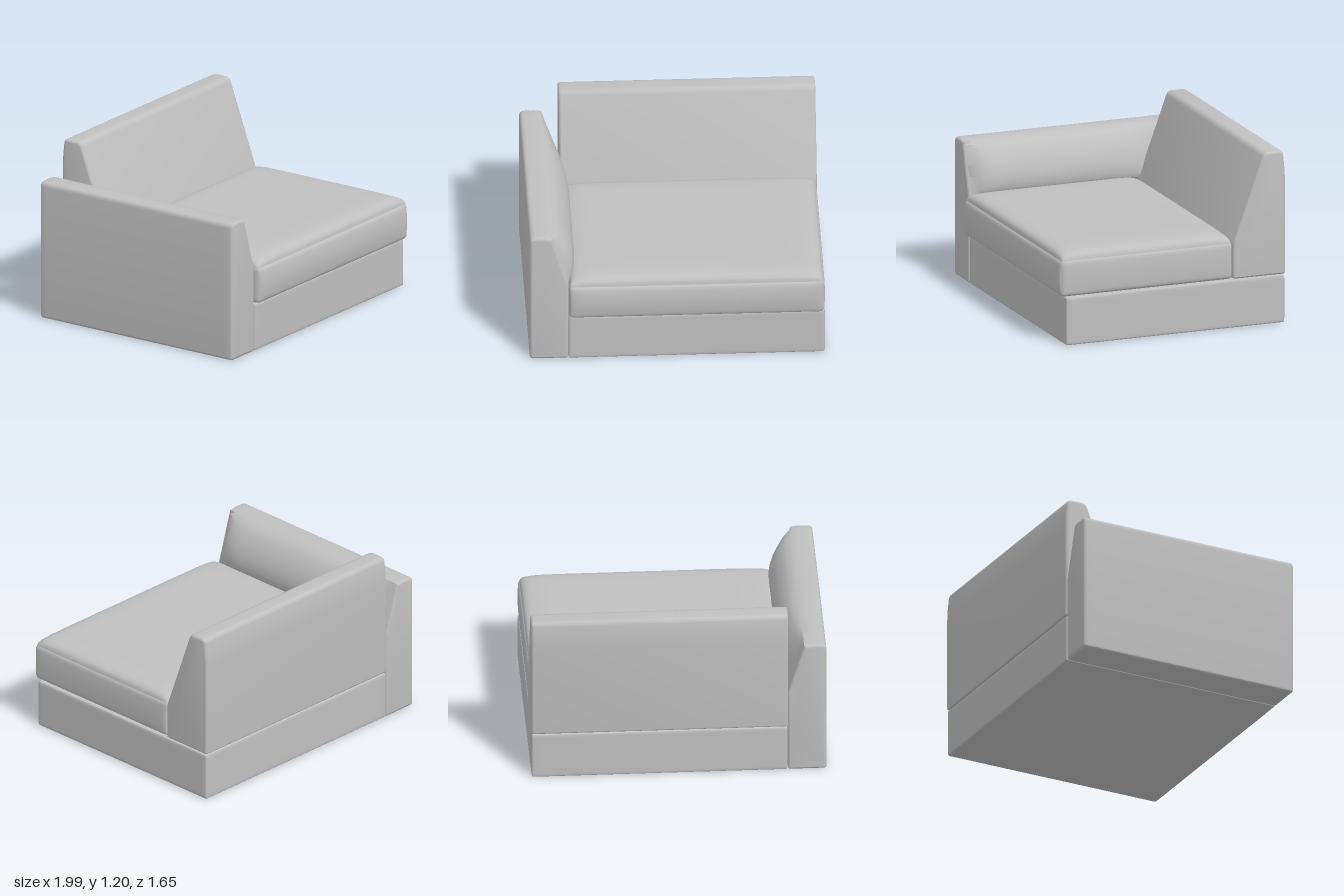
import * as THREE from 'three';
import { mergeVertices, toCreasedNormals } from 'three/addons/utils/BufferGeometryUtils.js';

const fabric = new THREE.MeshStandardMaterial({ color: 0xc0c0c0 });
fabric.name = 'grey fabric';

function part(name, geometry) {
  const mesh = new THREE.Mesh(geometry, fabric);
  mesh.name = name;
  return mesh;
}

// Closed outline from [x, y, cornerRadius] points
function outline(points) {
  const shape = new THREE.Shape();
  const n = points.length;
  points.forEach(([x, y, r = 0], i) => {
    const p = new THREE.Vector2(x, y);
    const toward = ([a, b]) => new THREE.Vector2(a, b).sub(p).setLength(r).add(p);
    const from = toward(points[(i + n - 1) % n]);
    const to = toward(points[(i + 1) % n]);
    if (i === 0) shape.moveTo(from.x, from.y);
    else shape.lineTo(from.x, from.y);
    if (r > 0) shape.quadraticCurveTo(x, y, to.x, to.y);
  });
  shape.closePath();
  return shape;
}

// Extrusion centred on its length, with softly rolled ends
function padded(points, length, steps) {
  const b = 0.018;
  const geo = new THREE.ExtrudeGeometry(outline(points), {
    depth: length - 2 * b, steps, curveSegments: 5,
    bevelEnabled: true, bevelSize: b, bevelThickness: b, bevelOffset: -b, bevelSegments: 3,
  });
  return geo.translate(0, 0, -length / 2 + b);
}

// Rounded block; rule(point, u, v, w) may reshape it, u v w running from -1 to 1
function softBlock(min, max, r, rule) {
  const lo = new THREE.Vector3(...min), hi = new THREE.Vector3(...max);
  const innerLo = lo.clone().addScalar(r), innerHi = hi.clone().subScalar(r);
  const geo = new THREE.BoxGeometry(2, 2, 2, 28, 16, 28);
  const pos = geo.attributes.position;
  const ease = (t) => Math.sin(t * Math.PI / 2);
  for (let i = 0; i < pos.count; i++) {
    const u = ease(pos.getX(i)), v = ease(pos.getY(i)), w = ease(pos.getZ(i));
    const p = new THREE.Vector3(u, v, w).addScalar(1).multiplyScalar(0.5)
      .multiply(hi.clone().sub(lo)).add(lo);
    const core = p.clone().clamp(innerLo, innerHi);
    p.sub(core).setLength(r).add(core);
    if (rule) rule(p, u, v, w);
    pos.setXYZ(i, p.x, p.y, p.z);
  }
  geo.deleteAttribute('uv');
  geo.deleteAttribute('normal');
  const merged = mergeVertices(geo, 1e-5);
  merged.computeVertexNormals();
  return merged;
}

// Arm: sloped inner face with a padded bulge that fades toward both ends
function armGeometry() {
  const slope = [];
  for (let i = 0; i <= 16; i++) {
    const t = i / 16;
    slope.push([-0.74 - 0.11 * t, 0.6 + 0.36 * t]);
  }
  const geo = padded([
    [-1, 0, 0.02], [-0.74, 0, 0.02], ...slope, [-0.9, 0.968], [-1, 0.965, 0.035],
  ], 1.59, 36).translate(0, 0, -0.025);
  const pos = geo.attributes.position;
  for (let i = 0; i < pos.count; i++) {
    const x = pos.getX(i), y = pos.getY(i), z = pos.getZ(i);
    const t = (y - 0.6) / 0.36;
    if (t <= 0 || t >= 1 || x < -0.74 - 0.11 * t - 0.04) continue;
    const fade = z > 0.55
      ? Math.sqrt(Math.max(0, 1 - ((z - 0.55) / 0.2) ** 2))
      : Math.sin(Math.min(1, Math.max(0, (z + 0.8) / 0.65)) * Math.PI / 2);
    pos.setX(i, x + 0.09 * fade * Math.sqrt(Math.sin(Math.PI * t)));
  }
  return toCreasedNormals(geo, 0.6);
}

export function createModel() {
  const sofa = new THREE.Group();
  sofa.name = 'sofa';

  sofa.add(part('base', softBlock([-0.738, 0, -0.82], [0.988, 0.335, 0.77], 0.016)));

  // Seat cushion with a domed top and slightly full front
  const crown = (a) => Math.sqrt(Math.max(0, 1 - Math.abs(a) ** 12));
  sofa.add(part('seatCushion', softBlock([-0.738, 0.338, -0.444], [0.982, 0.595, 0.805], 0.028,
    (p, u, v, w) => {
      const full = 1 - v * v;
      if (v > 0) p.y += 0.06 * crown(u) * crown(w) * v ** 4;
      if (w > 0) p.z += 0.018 * full * crown(u) * w ** 4;
      if (u > 0) p.x += 0.008 * full * crown(w) * u ** 4;
    })));

  // Backrest profile in z and y, run along x
  const back = padded([
    [-0.444, 0.338, 0.015], [-0.444, 0.58, 0.03], [-0.67, 1.2, 0.035],
    [-0.808, 1.2, 0.03], [-0.824, 1.05, 0.06], [-0.824, 0.338, 0.015],
  ], 1.732, 1).rotateY(-Math.PI / 2).translate(0.124, 0, 0);
  sofa.add(part('backrest', toCreasedNormals(back, 0.6)));

  sofa.add(part('arm', armGeometry()));
  return sofa;
}
